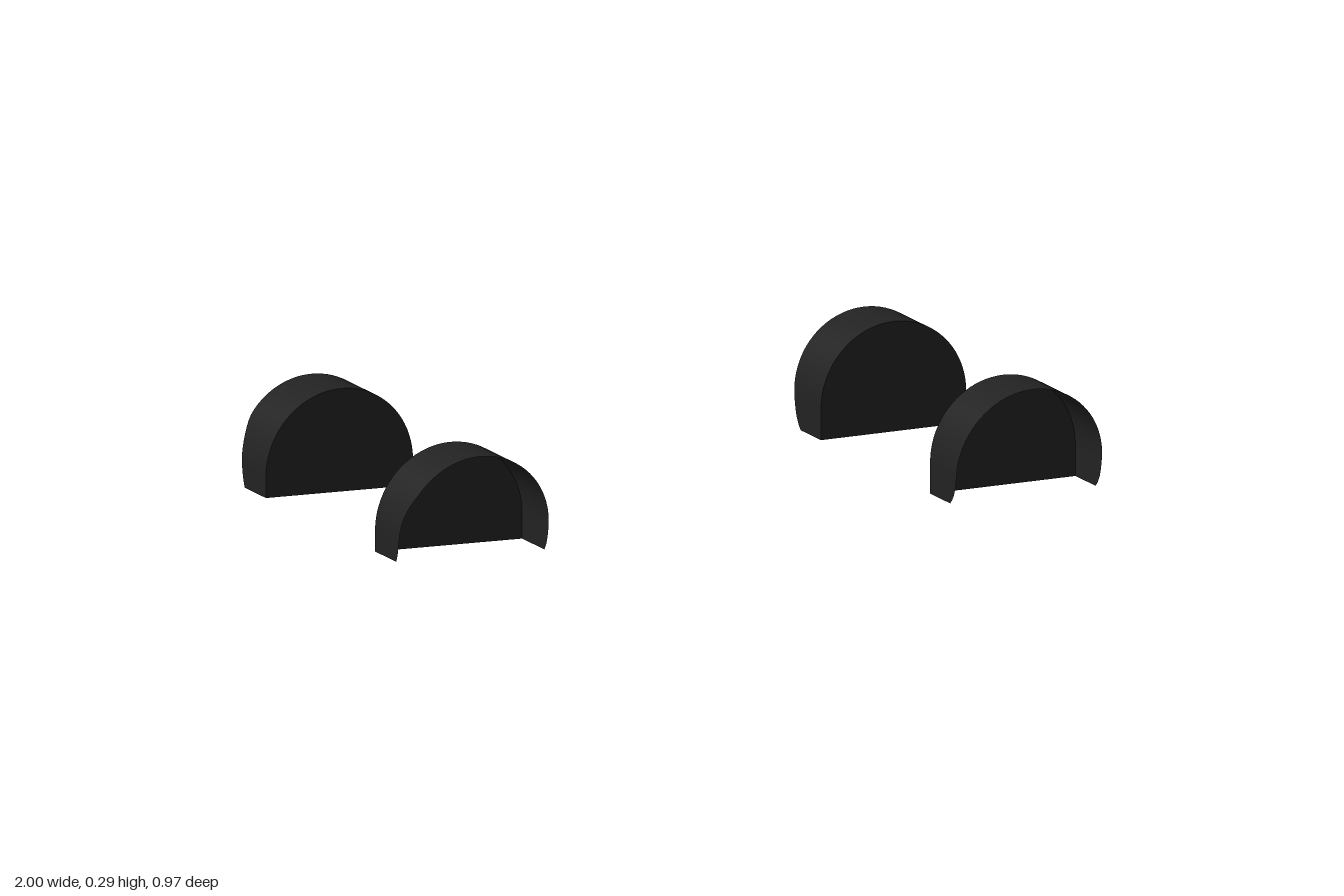
import * as THREE from 'three';

const INNER_Z = 0.313; // plane of the flat inner wall
const rubber = new THREE.MeshStandardMaterial({ color: 0x222222, side: THREE.DoubleSide });

// Outer rim depth by height: [y, z]
const RIM = [[0, 0.428], [0.012, 0.441], [0.03, 0.452], [0.05, 0.459], [0.075, 0.464],
  [0.12, 0.47], [0.2, 0.479], [0.25, 0.483], [0.29, 0.485]];

function rimZ(y) {
  for (let i = 1; i < RIM.length; i++) {
    const [y0, z0] = RIM[i - 1], [y1, z1] = RIM[i];
    if (y <= y1) return z0 + (z1 - z0) * (y - y0) / (y1 - y0);
  }
  return RIM[RIM.length - 1][1];
}

// Arch outline: straight leg, half circle, straight leg
function outline({ cx, r, cy, outerY, innerY }) {
  const pts = [], legs = 8, arc = 40;
  const [leftY, rightY] = cx < 0 ? [outerY, innerY] : [innerY, outerY];
  for (let i = 0; i < legs; i++) pts.push([cx - r, leftY + (cy - leftY) * i / legs]);
  for (let i = 0; i <= arc; i++) {
    const a = Math.PI * (1 - i / arc);
    pts.push([cx + r * Math.cos(a), cy + r * Math.sin(a)]);
  }
  for (let i = 1; i <= legs; i++) pts.push([cx + r, cy + (rightY - cy) * i / legs]);
  return pts;
}

// Curved strip running from the inner wall out to the rim
function stripGeometry(pts, cornerCut) {
  const pos = [], index = [], rows = 3;
  pts.forEach(([x, y], i) => {
    const end = rimZ(y) - cornerCut * THREE.MathUtils.smoothstep(Math.abs(x), 0.955, 1);
    for (let j = 0; j <= rows; j++) pos.push(x, y, INNER_Z + (end - INNER_Z) * j / rows);
    if (i === 0) return;
    for (let j = 0; j < rows; j++) {
      const b = i * (rows + 1) + j, a = b - rows - 1;
      index.push(a, a + 1, b, b, a + 1, b + 1);
    }
  });
  const geo = new THREE.BufferGeometry();
  geo.setAttribute('position', new THREE.Float32BufferAttribute(pos, 3));
  geo.setIndex(index);
  geo.computeVertexNormals();
  return geo;
}

function archLiner(spec) {
  const group = new THREE.Group();
  const pts = outline(spec);
  const strip = new THREE.Mesh(stripGeometry(pts, spec.cornerCut), rubber);
  strip.name = 'archStrip';
  const shape = new THREE.Shape(pts.map(([x, y]) => new THREE.Vector2(x, y)));
  const wall = new THREE.Mesh(new THREE.ShapeGeometry(shape), rubber);
  wall.name = 'innerWall';
  wall.position.z = INNER_Z;
  group.add(strip, wall);
  return group;
}

export function createModel() {
  const model = new THREE.Group();
  model.name = 'wheelArchLiners';
  const specs = {
    right: { cx: 0.7925, r: 0.2075, cy: 0.0825, outerY: 0, innerY: 0, cornerCut: 0 },
    left: { cx: -0.79, r: 0.21, cy: 0.08, outerY: 0.025, innerY: 0.012, cornerCut: 0.015 },
  };
  // Each pair is mirrored across z, open sides facing outward
  for (const [end, spec] of Object.entries(specs)) {
    for (const side of [1, -1]) {
      const liner = archLiner(spec);
      liner.name = `${end === 'right' ? 'positiveX' : 'negativeX'}${side > 0 ? 'Front' : 'Back'}Liner`;
      liner.scale.z = side;
      model.add(liner);
    }
  }
  return model;
}
